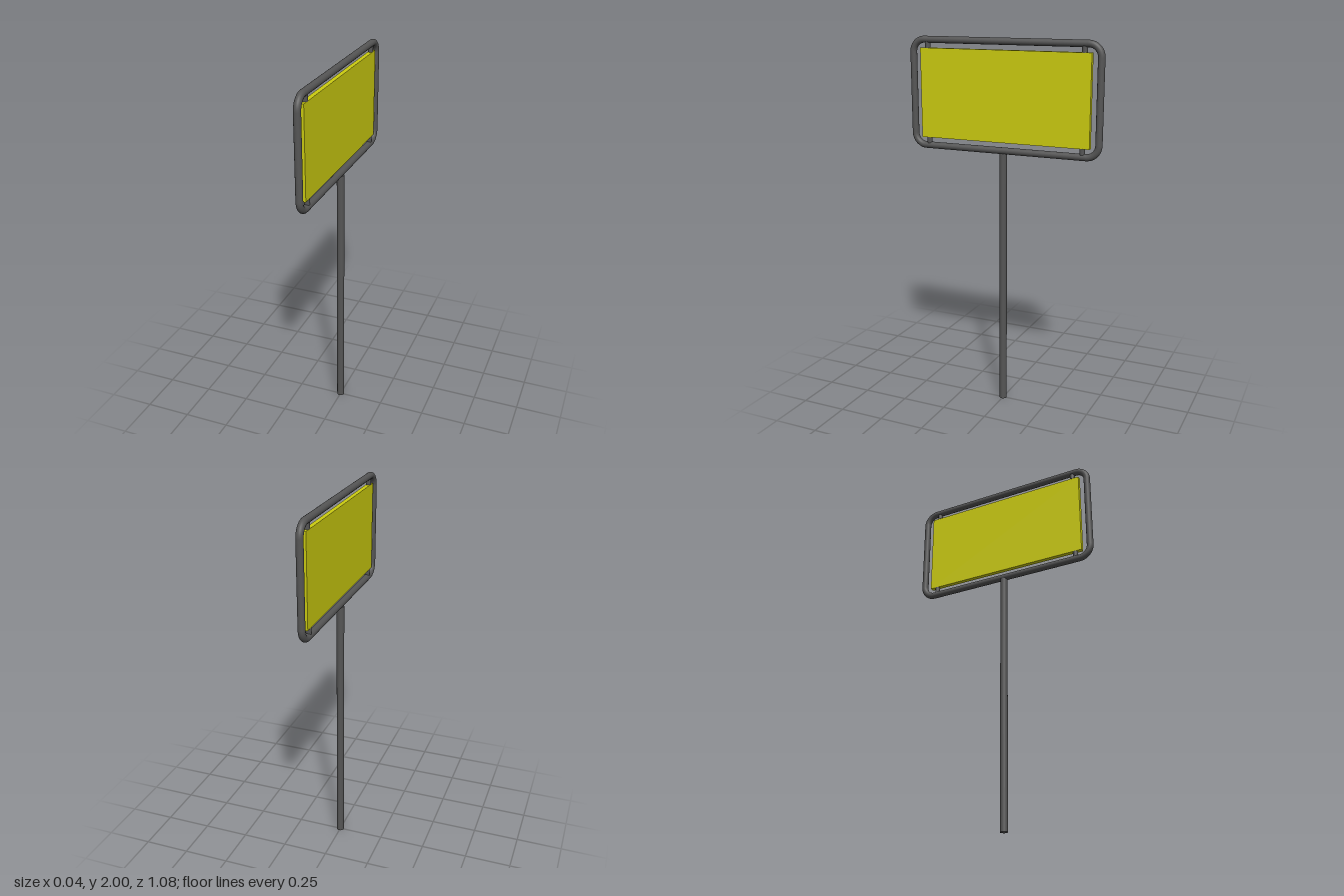
import * as THREE from 'three';

export function createModel() {
  const model = new THREE.Group();
  model.name = 'signpost';
  const metal = new THREE.MeshStandardMaterial({ color: 0x555555 });
  const yellow = new THREE.MeshStandardMaterial({ color: 0xcccc10 });

  const add = (parent, name, geometry, material, x, y, z) => {
    const mesh = new THREE.Mesh(geometry, material);
    mesh.name = name;
    mesh.position.set(x, y, z);
    parent.add(mesh);
    return mesh;
  };

  // Post
  const postHeight = 1.41;
  add(model, 'post', new THREE.CylinderGeometry(0.02, 0.02, postHeight, 20), metal, 0, postHeight / 2, 0);

  // Sign head, drawn in its own xy plane and turned to face sideways
  const head = new THREE.Group();
  head.name = 'signHead';
  head.position.y = 1.702;
  head.rotation.y = Math.PI / 2;
  model.add(head);

  // Frame: straight tubes joined by quarter bends
  const tube = 0.018, halfW = 0.521, halfH = 0.28, bend = 0.065;
  const frame = new THREE.Group();
  frame.name = 'frame';
  head.add(frame);
  const railGeo = new THREE.CylinderGeometry(tube, tube, 2 * (halfW - bend), 20, 1, true).rotateZ(Math.PI / 2);
  const sideGeo = new THREE.CylinderGeometry(tube, tube, 2 * (halfH - bend), 20, 1, true);
  const bendGeo = new THREE.TorusGeometry(bend, tube, 20, 12, Math.PI / 2);
  for (const s of [-1, 1]) {
    add(frame, 'frameRail', railGeo, metal, 0, s * halfH, 0);
    add(frame, 'frameSide', sideGeo, metal, s * halfW, 0, 0);
  }
  [[1, 1], [-1, 1], [-1, -1], [1, -1]].forEach(([sx, sy], i) => {
    const corner = add(frame, 'frameBend', bendGeo, metal, sx * (halfW - bend), sy * (halfH - bend), 0);
    corner.rotation.z = i * Math.PI / 2;
  });

  // Panel
  add(head, 'panel', new THREE.BoxGeometry(0.95, 0.474, 0.024), yellow, 0, 0, 0);

  // Short pegs holding the panel in the frame
  const pegGeo = new THREE.CylinderGeometry(0.014, 0.014, 0.045, 16);
  for (const sx of [-1, 1]) {
    for (const sy of [-1, 1]) add(head, 'peg', pegGeo, metal, sx * 0.435, sy * 0.2585, 0);
  }
  return model;
}
